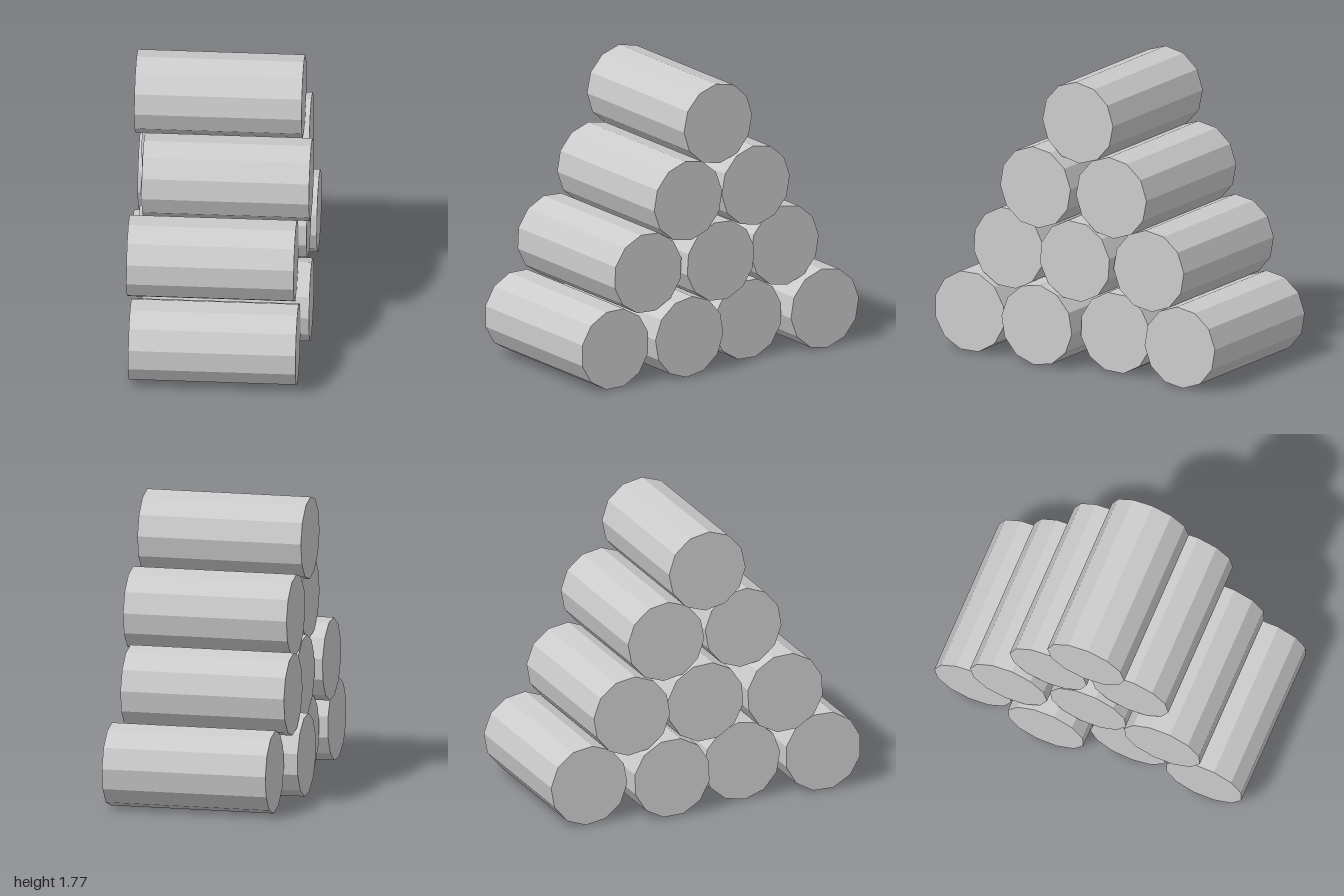
import * as THREE from 'three';

// Each row from the ground up: height of the log centres, then per log
// [z, endways shift in x, roll about its axis in degrees]
const ROWS = [
  { y: 0.251, logs: [[0.757, -0.005, 15], [0.25, 0.045, -5], [-0.246, -0.05, 13], [-0.751, 0.03, 5]] },
  { y: 0.674, logs: [[0.498, -0.032, 12], [0, 0.015, 11], [-0.497, -0.025, 5]] },
  { y: 1.1, logs: [[0.259, 0.045, 5], [-0.257, 0.014, 4]] },
  { y: 1.521, logs: [[-0.002, -0.015, 3]] },
];

export function createModel() {
  const model = new THREE.Group();
  model.name = 'logPile';
  const material = new THREE.MeshStandardMaterial({ color: 0xcccccc, flatShading: true });

  // One twelve-sided log lying along x
  const geometry = new THREE.CylinderGeometry(0.249, 0.249, 1, 12);
  geometry.rotateZ(Math.PI / 2);

  // Stack the rows into a triangular pile
  ROWS.forEach(({ y, logs }, row) => {
    const group = new THREE.Group();
    group.name = `logRow${row + 1}`;
    logs.forEach(([z, x, roll], i) => {
      const log = new THREE.Mesh(geometry, material);
      log.name = `log${row + 1}_${i + 1}`;
      log.position.set(x, y, z);
      log.rotation.x = THREE.MathUtils.degToRad(roll);
      group.add(log);
    });
    model.add(group);
  });
  return model;
}
